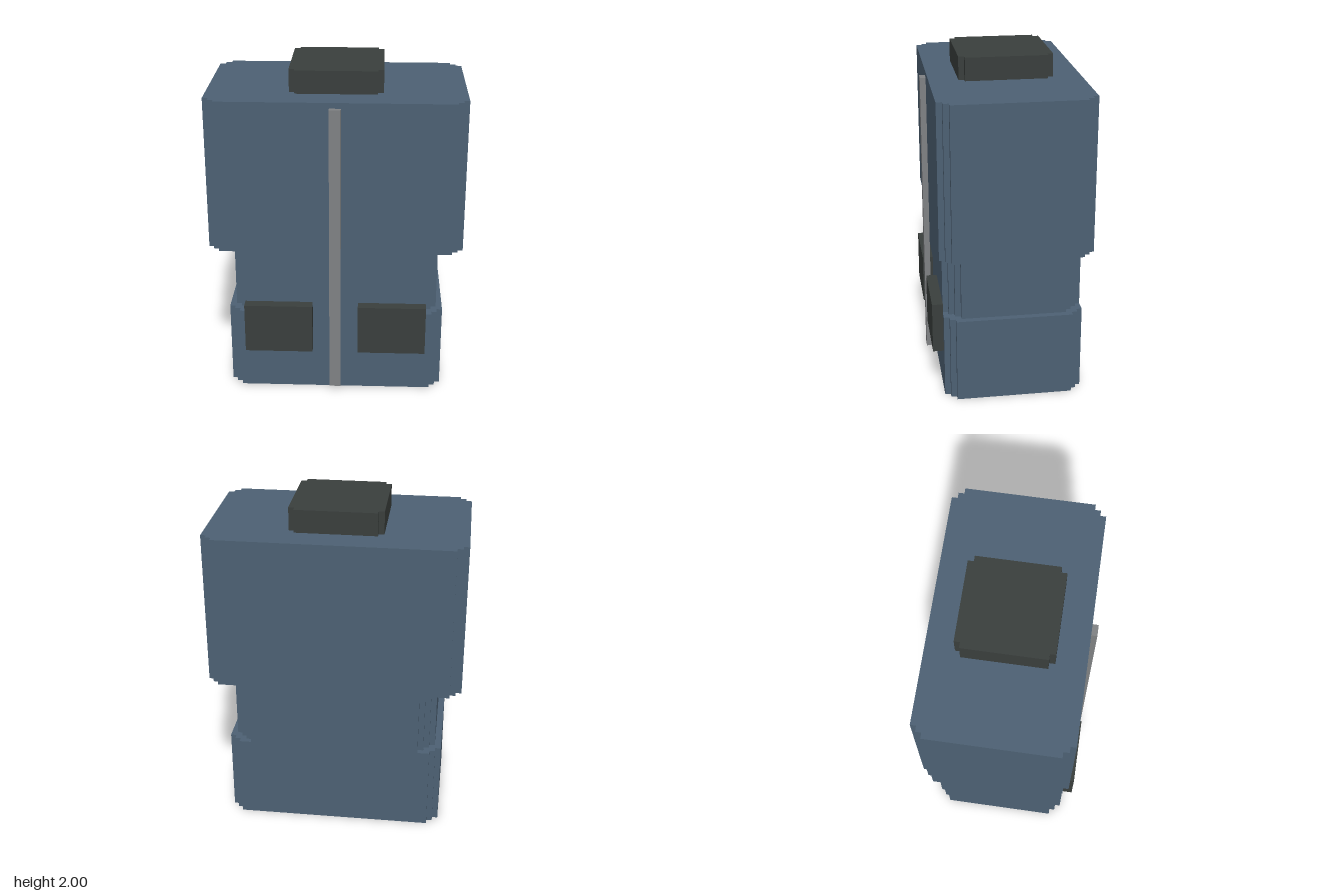
import * as THREE from 'three';

const STEP = 0.034;

// Upright block whose four vertical corners are notched in square steps
function steppedBlock(halfWidth, zBack, zFront, y0, y1, steps) {
  const cz = (zFront + zBack) / 2;
  const halfDepth = (zFront - zBack) / 2;
  // One corner as a staircase, from the side towards the front
  const corner = [];
  for (let i = 0; i <= steps; i++) {
    const x = halfWidth - i * STEP;
    const z = halfDepth - (steps - i) * STEP;
    if (i > 0) corner.push([x, z - STEP]);
    corner.push([x, z]);
  }
  const back = [...corner].reverse();
  const outline = [
    ...corner,
    ...back.map(([x, z]) => [-x, z]),
    ...corner.map(([x, z]) => [-x, -z]),
    ...back.map(([x, z]) => [x, -z]),
  ];
  const shape = new THREE.Shape(outline.map(([x, z]) => new THREE.Vector2(x, z)));
  const geometry = new THREE.ExtrudeGeometry(shape, { depth: y1 - y0, bevelEnabled: false });
  geometry.rotateX(-Math.PI / 2);
  geometry.translate(0, y0, cz);
  return geometry;
}

function box(x0, x1, y0, y1, z0, z1) {
  const geometry = new THREE.BoxGeometry(x1 - x0, y1 - y0, z1 - z0);
  geometry.translate((x0 + x1) / 2, (y0 + y1) / 2, (z0 + z1) / 2);
  return geometry;
}

export function createModel() {
  const group = new THREE.Group();
  const material = (name, color) => {
    const m = new THREE.MeshStandardMaterial({ color });
    m.name = name;
    return m;
  };
  const blue = material('slateBlue', 0x4d6174);
  const dark = material('charcoal', 0x3a3f3d);
  const grey = material('metalGrey', 0x808284);

  const add = (name, geometry, mat) => {
    const mesh = new THREE.Mesh(geometry, mat);
    mesh.name = name;
    group.add(mesh);
  };

  // Jacket body: hem, waist and chest
  add('hem', steppedBlock(0.655, -0.43, 0.4, 0, 0.52, 2), blue);
  add('waist', steppedBlock(0.617, -0.43, 0.4, 0.52, 0.937, 3), blue);
  add('chest', steppedBlock(0.76, -0.465, 0.43, 0.937, 1.863, 2), blue);

  // Collar on top
  add('collar', steppedBlock(0.275, -0.295, 0.257, 1.863, 2, 1), dark);

  // Front pockets
  add('leftPocket', box(0.138, 0.55, 0.28, 0.59, 0.4, 0.465), dark);
  add('rightPocket', box(-0.55, -0.138, 0.28, 0.59, 0.4, 0.465), dark);

  // Zip strip down the front
  add('zip', box(-0.034, 0.034, 0.037, 1.83, 0.43, 0.465), grey);

  return group;
}
